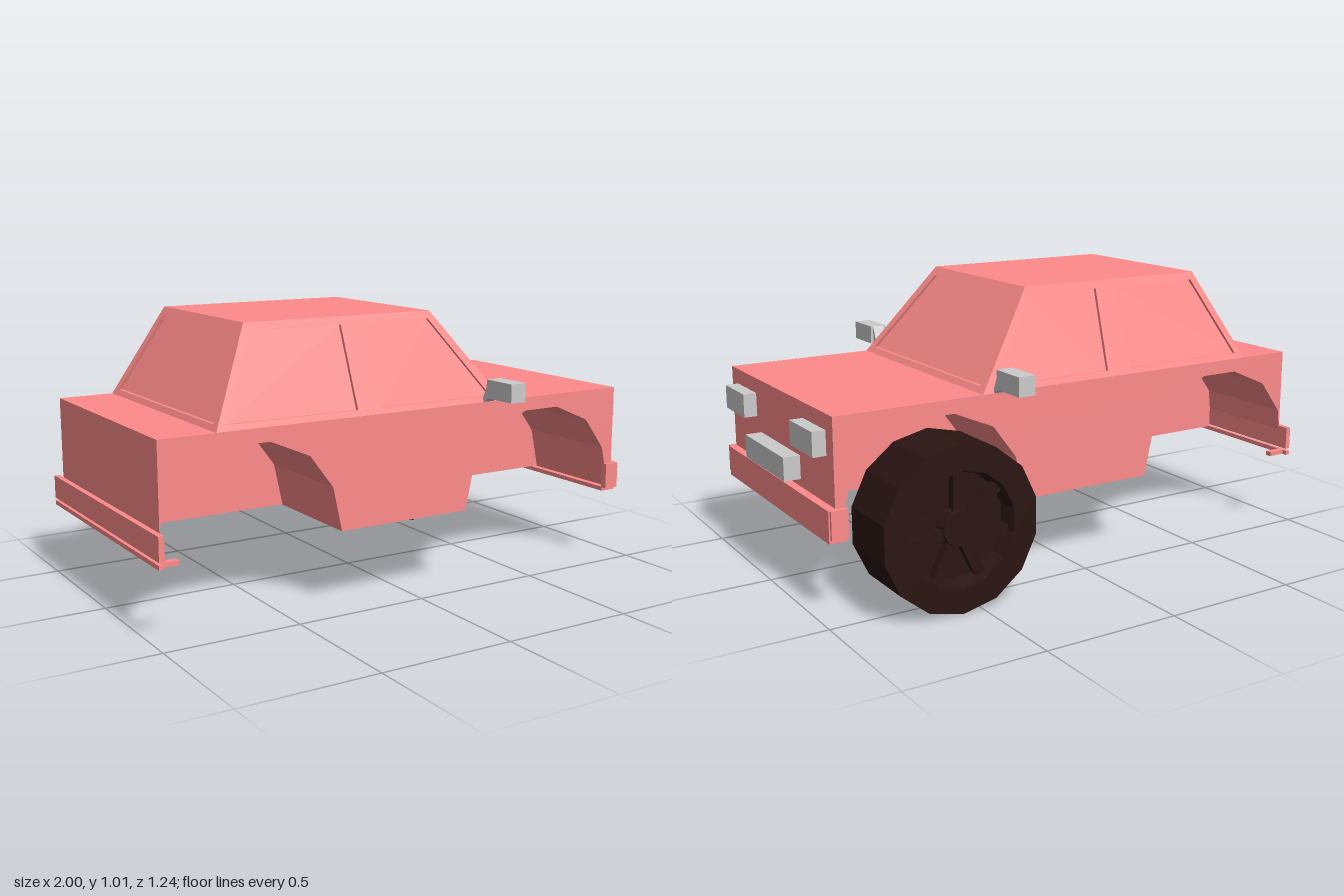
import * as THREE from 'three';

const mat = (color) => new THREE.MeshStandardMaterial({ color, flatShading: true });
const paint = mat(0xff8b8b), grey = mat(0xcccccc), rubber = mat(0x2a1512);
const SILL = 0.29, BELT = 0.685, ROOF = 1.015;

const toShape = (pts) => new THREE.Shape(pts.map(([x, y]) => new THREE.Vector2(x, y)));
const extrude = (shape, depth) => new THREE.ExtrudeGeometry(shape, { depth, bevelEnabled: false });

function add(parent, name, geometry, material) {
  const mesh = new THREE.Mesh(geometry, material);
  mesh.name = name;
  parent.add(mesh);
  return mesh;
}

// Box given by its limits on each axis
function box(parent, name, [x0, x1], [y0, y1], [z0, z1], material) {
  const m = add(parent, name, new THREE.BoxGeometry(x1 - x0, y1 - y0, z1 - z0), material);
  m.position.set((x0 + x1) / 2, (y0 + y1) / 2, (z0 + z1) / 2);
  return m;
}

// Upright slab leaned so its outer face runs from base (at the belt) to top (at the roof)
function leaningSlab(shape, base, top, inset, thickness) {
  const g = extrude(shape, thickness);
  const p = g.attributes.position;
  const out = Math.sign(base);
  for (let i = 0; i < p.count; i++) {
    const t = (p.getY(i) - BELT) / (ROOF - BELT);
    const face = base + (top - base) * t;
    p.setZ(i, face + p.getZ(i) + (out > 0 ? -thickness - inset : inset));
  }
  g.computeVertexNormals();
  return g;
}

// Cabin wall with recessed window panes
function cabinWall(parent, name, outline, windows, base, top, alongX) {
  const frame = toShape(outline);
  windows.forEach((w) => frame.holes.push(toShape(w)));
  const parts = [[name + 'Frame', leaningSlab(frame, base, top, 0, 0.03)]];
  windows.forEach((w) => parts.push([name + 'Pane', leaningSlab(toShape(w), base, top, 0.013, 0.012)]));
  for (const [n, g] of parts) {
    if (alongX) g.rotateY(Math.PI / 2);
    add(parent, n, g, paint);
  }
}

// Half of a fourteen-sided wheel arch, from front to back
function arch(cx) {
  return [[0.35, SILL], [0.315, 0.45], [0.225, 0.57], [0.075, 0.635],
    [-0.075, 0.635], [-0.225, 0.57], [-0.315, 0.45], [-0.35, SILL]].map(([x, y]) => [cx + x, y]);
}

function createWheel() {
  const wheel = new THREE.Group();
  wheel.name = 'wheel';
  const profile = [[0, -0.07], [0.18, -0.07], [0.2, -0.117], [0.29, -0.117], [0.29, 0.117],
    [0.2, 0.117], [0.185, 0.06], [0, 0.06]].map(([r, y]) => new THREE.Vector2(r, y));
  add(wheel, 'tyre', new THREE.LatheGeometry(profile, 14), rubber);
  add(wheel, 'hub', new THREE.CylinderGeometry(0.06, 0.07, 0.04, 14), rubber).position.y = 0.08;
  for (let i = 0; i < 7; i++) {
    const spoke = new THREE.BoxGeometry(0.04, 0.03, 0.14);
    spoke.translate(0, 0.075, 0.12).rotateY((i / 7) * Math.PI * 2);
    add(wheel, 'spoke', spoke, rubber);
  }
  wheel.rotation.x = -Math.PI / 2;
  wheel.position.set(0.575, 0.295, -0.503);
  return wheel;
}

export function createModel() {
  const car = new THREE.Group();
  car.name = 'car';

  // Lower body with arches cut through, and the centre wall between the wheel wells
  const rearArch = arch(-0.655).slice(0, -1);
  const side = [[-0.98, BELT], [-0.98, 0.37], ...rearArch.reverse(), ...arch(0.575).reverse(),
    [0.94, SILL], [0.94, BELT]];
  const body = extrude(toShape(side), 0.895);
  body.translate(0, 0, -0.442);
  add(car, 'body', body, paint);
  box(car, 'centreWall', [-0.98, 0.93], [SILL + 0.002, 0.66], [-0.03, 0.03], paint);

  // Cabin
  const cabin = new THREE.Group();
  cabin.name = 'cabin';
  car.add(cabin);
  const sideOutline = [[-0.775, BELT], [0.39, BELT], [0.145, ROOF], [-0.605, ROOF]];
  const sideWindows = [
    [[-0.735, 0.705], [-0.235, 0.705], [-0.235, 0.987], [-0.59, 0.987]],
    [[-0.135, 0.705], [0.335, 0.705], [0.132, 0.987], [-0.15, 0.987]],
  ];
  cabinWall(cabin, 'leftSide', sideOutline, sideWindows, 0.453, 0.32, false);
  cabinWall(cabin, 'rightSide', sideOutline, sideWindows, -0.442, -0.32, false);
  const endOutline = [[-0.453, BELT], [0.442, BELT], [0.32, ROOF], [-0.32, ROOF]];
  const endWindow = [[-0.41, 0.705], [0.4, 0.705], [0.295, 0.985], [-0.29, 0.985]];
  cabinWall(cabin, 'windscreen', endOutline, [endWindow], 0.39, 0.145, true);
  cabinWall(cabin, 'rearScreen', endOutline, [endWindow], -0.775, -0.605, true);
  box(cabin, 'roof', [-0.605, 0.145], [ROOF - 0.02, ROOF], [-0.32, 0.32], paint);

  // Bumpers
  box(car, 'frontBumper', [0.94, 0.97], [0.272, 0.383], [-0.455, 0.445], paint);
  box(car, 'frontBumperLip', [0.905, 0.94], [0.272, 0.288], [-0.455, 0.445], paint);
  box(car, 'rearBumper', [-1, -0.98], [0.3, 0.385], [-0.485, 0.49], paint);
  box(car, 'rearBumperStrip', [-1, -0.985], [0.274, 0.29], [-0.485, 0.49], paint);
  for (const s of [1, -1]) {
    const z = s > 0 ? [0.44, 0.465] : [-0.465, -0.44];
    box(car, 'frontBumperEnd', [0.905, 0.965], [0.285, 0.383], z, paint);
    box(car, 'rearBumperEnd', [-0.99, -0.92], [0.274, 0.29], z, paint);
  }

  // Lamps and plate
  box(car, 'leftHeadlight', [0.93, 0.988], [0.545, 0.63], [0.215, 0.395], grey);
  box(car, 'rightHeadlight', [0.93, 0.988], [0.545, 0.63], [-0.388, -0.205], grey);
  box(car, 'frontPlate', [0.93, 1], [0.41, 0.493], [-0.168, 0.182], grey);

  // Mirrors on short slanted arms
  for (const s of [1, -1]) {
    const z = s > 0 ? [0.48, 0.62] : [-0.61, -0.47];
    box(car, 'mirror', [0.29, 0.355], [0.705, 0.773], z, grey);
    const root = s > 0 ? 0.48 : 0.47;
    const arm = extrude(toShape([[root, 0.773], [root - 0.037, 0.69], [root - 0.028, 0.685],
      [root, 0.705]].map(([d, y]) => [-s * d, y])), 0.045);
    arm.rotateY(Math.PI / 2).translate(0.3, 0, 0);
    add(car, 'mirrorArm', arm, grey);
  }

  car.add(createWheel());
  return car;
}
